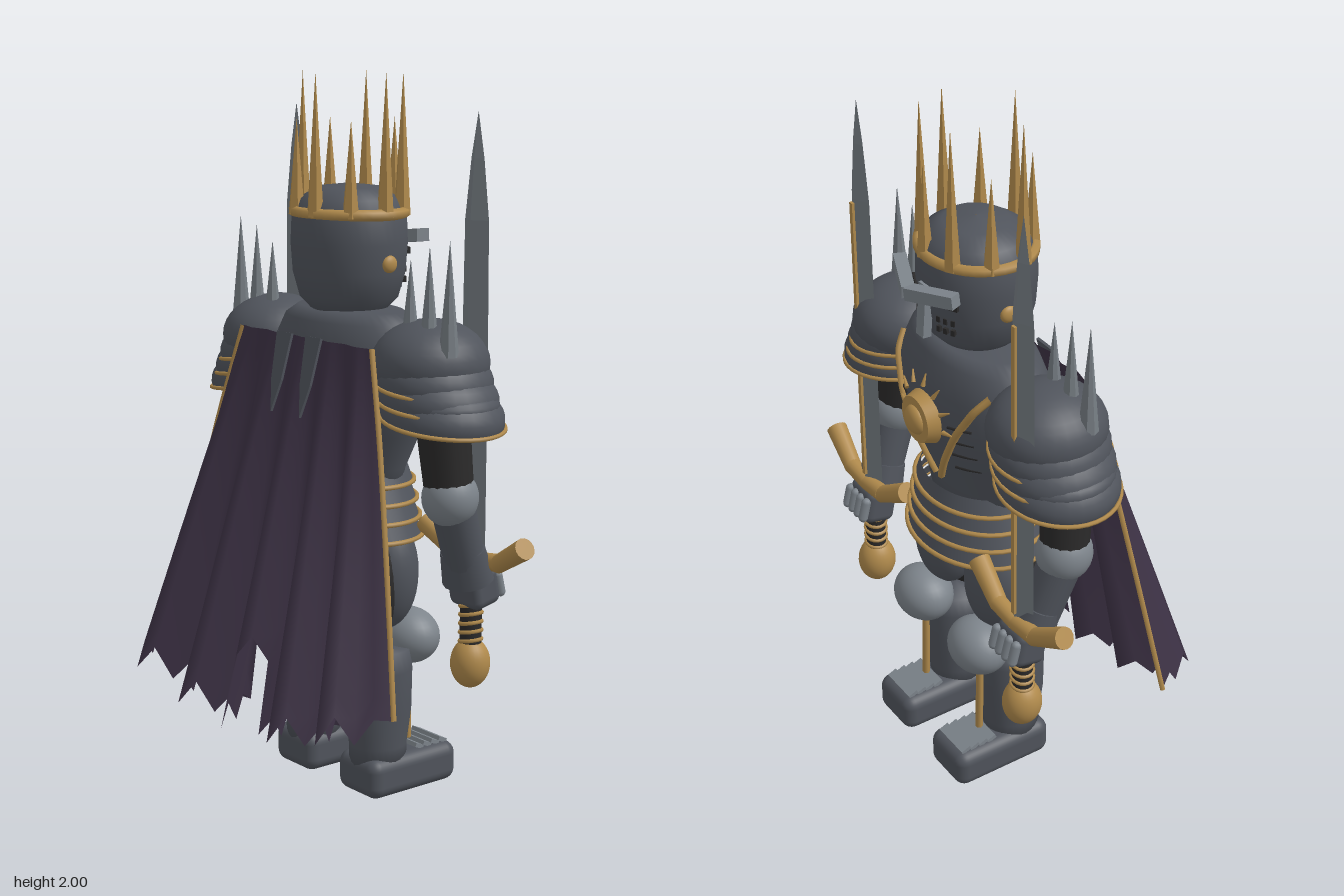
import * as THREE from 'three';
import { RoundedBoxGeometry } from 'three/addons/geometries/RoundedBoxGeometry.js';

const mat = (name, color, extra = {}) => new THREE.MeshStandardMaterial({ name, color, ...extra });
const V = (x, y, z) => new THREE.Vector3(x, y, z);

export function createModel() {
  const root = new THREE.Group();
  root.name = 'armouredKing';
  const armour = mat('dark armour', 0x50545c, { side: THREE.DoubleSide });
  const steel = mat('steel', 0x7d848b);
  const steelFlat = mat('blade steel', 0x767d83, { flatShading: true });
  const gold = mat('gold', 0xb08a4c);
  const goldFlat = mat('crown gold', 0xb08a4c, { flatShading: true });
  const black = mat('black cloth', 0x2b2a2a);
  const capeMat = mat('cape purple', 0x3d3245, { side: THREE.DoubleSide });

  const add = (name, geo, m, x = 0, y = 0, z = 0) => {
    const mesh = new THREE.Mesh(geo, m);
    mesh.name = name;
    mesh.position.set(x, y, z);
    root.add(mesh);
    return mesh;
  };
  const ball = (name, m, x, y, z, rx, ry, rz) => {
    const b = add(name, new THREE.SphereGeometry(1, 28, 18), m, x, y, z);
    b.scale.set(rx, ry, rz);
    return b;
  };
  const rod = (name, m, a, b, r0, r1 = r0, sides = 16) => {
    const d = b.clone().sub(a), mid = a.clone().add(b).multiplyScalar(0.5);
    const c = add(name, new THREE.CylinderGeometry(r1, r0, d.length(), sides), m, mid.x, mid.y, mid.z);
    c.quaternion.setFromUnitVectors(V(0, 1, 0), d.normalize());
    return c;
  };
  const tube = (name, m, pts, r, closed = false) =>
    add(name, new THREE.TubeGeometry(new THREE.CatmullRomCurve3(pts, closed), 40, r, 6, closed), m);
  const lathe = (name, m, pts, z, zs) => {
    const l = add(name, new THREE.LatheGeometry(pts.map(p => new THREE.Vector2(...p)), 40), m, 0, 0, z);
    l.scale.z = zs;
    return l;
  };
  const ellipse = (name, x, y, z, rx, rz, r, tilt = 0) => {
    const pts = [];
    for (let i = 0; i < 24; i++) {
      const a = i / 24 * Math.PI * 2;
      pts.push(V(x + rx * Math.cos(a), y + tilt * Math.cos(a), z + rz * Math.sin(a)));
    }
    return tube(name, gold, pts, r, true);
  };

  // Breastplate, with a helper giving its face surface
  const torso = [[0.001, 0.82], [0.17, 0.82], [0.2, 0.93], [0.25, 1.03], [0.29, 1.15], [0.285, 1.25], [0.24, 1.33], [0.19, 1.36], [0.001, 1.365]];
  lathe('breastplate', armour, torso, -0.12, 0.56);
  const chestZ = (x, y) => {
    let i = 1;
    while (i < 6 && torso[i + 1][1] < y) i++;
    const [r0, y0] = torso[i], [r1, y1] = torso[i + 1];
    const r = r0 + (r1 - r0) * (y - y0) / (y1 - y0);
    return -0.12 - 0.56 * Math.sqrt(Math.max(0, r * r - x * x));
  };

  // Sun emblem
  const disc = add('emblemDisc', new THREE.CylinderGeometry(0.066, 0.078, 0.035, 32), gold, 0, 1.15, -0.295);
  disc.rotation.x = -Math.PI / 2;
  ball('emblemBoss', gold, 0, 1.15, -0.31, 0.042, 0.042, 0.025);
  for (let i = 0; i < 7; i++) {
    const a = (i / 6) * Math.PI, c = Math.cos(a), s = Math.sin(a);
    rod('emblemRay', gold, V(c * 0.095, 1.15 + s * 0.095, -0.285), V(c * 0.13, 1.15 + s * 0.13, -0.275), 0.007, 0.002, 6);
  }

  // Waist plates with gold edges
  for (let i = 0; i < 4; i++) {
    const y = 0.93 - i * 0.05, r = 0.195 + i * 0.01;
    lathe('waistPlate', armour, [[r + 0.008, y - 0.05], [r - 0.012, y]], -0.115, 0.8);
    ellipse('waistTrim', 0, y - 0.045, -0.115, r + 0.01, (r + 0.01) * 0.8, 0.007);
  }
  ball('hips', black, 0, 0.76, -0.11, 0.19, 0.09, 0.13);

  // Helmet
  lathe('helmet', armour, [[0.001, 1.34], [0.1, 1.35], [0.14, 1.39], [0.16, 1.46], [0.166, 1.54], [0.163, 1.61], [0.14, 1.66], [0.09, 1.69], [0.001, 1.7]], -0.113, 0.95);
  const nose = add('noseGuard', new THREE.BoxGeometry(0.035, 0.15, 0.025), steel, 0, 1.475, -0.272);
  nose.rotation.x = 0.08;
  for (const s of [1, -1]) {
    const brow = add('brow', new THREE.BoxGeometry(0.15, 0.035, 0.035), steel, s * 0.067, 1.55, -0.292);
    brow.rotation.set(0, -s * 0.4, s * 0.12);
    const eye = add('eyeSlit', new THREE.BoxGeometry(0.08, 0.018, 0.02), black, s * 0.067, 1.515, -0.25);
    eye.rotation.y = -s * 0.42;
    for (let j = 0; j < 6; j++) {
      const a = 0.28 + (j % 3) * 0.14;
      const hole = add('breathHole', new THREE.BoxGeometry(0.011, 0.016, 0.012), black,
        s * 0.159 * Math.sin(a), 1.435 + Math.floor(j / 3) * 0.028, -0.113 - 0.149 * Math.cos(a));
      hole.rotation.y = -s * a;
    }
    ball('templeRivet', gold, s * 0.162, 1.49, -0.122, 0.014, 0.024, 0.024);
  }

  // Crown
  ellipse('crownBand', 0, 1.622, -0.113, 0.162, 0.145, 0.016);
  for (let i = 0; i < 9; i++) {
    const a = i * Math.PI * 2 / 9, h = i % 2 ? 0.26 : 0.385;
    add('crownSpike', new THREE.ConeGeometry(0.024, h, 6), goldFlat,
      Math.cos(a) * 0.154, 1.615 + h / 2, -0.113 + Math.sin(a) * 0.14);
  }

  for (const s of [1, -1]) {
    // Breast straps and rib grooves
    const strap = [];
    for (let i = 0; i <= 8; i++) {
      const x = 0.012 + i * 0.025, y = 0.95 + i * 0.0425;
      strap.push(V(s * x, y, chestZ(x, y) - 0.004));
    }
    tube('breastStrap', gold, strap, 0.011);
    for (let j = 0; j < 4; j++) {
      const y = 1.03 + j * 0.045, pts = [0.1, 0.14, 0.18].map(x => V(s * x, y + (x - 0.1) * 0.2, chestZ(x, y) - 0.001));
      tube('ribGroove', black, pts, 0.004);
    }

    // Layered shoulder plates
    ball('shoulderDome', armour, s * 0.335, 1.245, -0.12, 0.155, 0.118, 0.162);
    for (let i = 0; i < 3; i++) {
      const x = 0.35 + i * 0.018, y = 1.2 - i * 0.045, r = 0.155 + i * 0.008;
      const cap = add('shoulderPlate', new THREE.SphereGeometry(1, 28, 10, 0, Math.PI * 2, 0, Math.PI * 0.56), armour, s * x, y, -0.12);
      cap.scale.set(r, 0.1, 0.162);
      cap.rotation.z = -s * 0.12;
      ellipse('shoulderTrim', s * x, y - 0.017, -0.12, r, 0.161, 0.006, -s * 0.019);
    }
    ball('shoulderUnderside', armour, s * 0.385, 1.14, -0.12, 0.155, 0.06, 0.15);
    [[0.455, 1.58], [0.377, 1.56], [0.302, 1.52]].forEach(([x, top]) =>
      add('shoulderSpike', new THREE.ConeGeometry(0.027, top - 1.28, 8), steelFlat, s * x, (top + 1.28) / 2, -0.077));

    // Arm
    rod('upperArm', black, V(s * 0.4, 1.16, -0.1), V(s * 0.42, 0.88, -0.12), 0.075, 0.065);
    ball('elbowGuard', steel, s * 0.42, 0.895, -0.12, 0.075, 0.08, 0.078);
    rod('forearm', armour, V(s * 0.42, 0.87, -0.13), V(s * 0.4, 0.66, -0.205), 0.06, 0.055);
    const cuff = rod('cuff', armour, V(s * 0.405, 0.74, -0.18), V(s * 0.397, 0.65, -0.21), 0.062, 0.072);
    cuff.scale.z = 0.9;
    const hand = add('gauntlet', new RoundedBoxGeometry(0.12, 0.11, 0.1, 3, 0.025), armour, s * 0.39, 0.63, -0.235);
    hand.rotation.x = 0.2;
    for (let j = 0; j < 4; j++) {
      const f = add('finger', new THREE.CapsuleGeometry(0.014, 0.05, 4, 8), steel, s * (0.345 + j * 0.03), 0.635, -0.288);
      f.rotation.x = 0.25;
    }

    // Sword: four-sided blade, fuller, guard, grip and pommel
    const blade = new THREE.CylinderGeometry(1, 1, 1.18, 4, 4);
    const p = blade.attributes.position, widths = [0.052, 0.05, 0.046, 0.025, 0.0005], heights = [0.7, 1.3, 1.62, 1.78, 1.9];
    for (let i = 0; i < p.count; i++) {
      const k = Math.round((p.getY(i) / 1.18 + 0.5) * 4);
      p.setXYZ(i, p.getX(i) * widths[k], heights[k], p.getZ(i) * widths[k] * 0.52);
    }
    blade.computeVertexNormals();
    add('swordBlade', blade, steelFlat, s * 0.388, 0, -0.23);
    add('swordFuller', new THREE.BoxGeometry(0.014, 0.88, 0.008), gold, s * 0.388, 1.17, -0.257);
    for (const e of [1, -1]) {
      rod('swordGuard', gold, V(s * 0.388, 0.695, -0.25), V(s * (0.388 + e * 0.085), 0.705, -0.25), 0.024, 0.025);
      rod('swordGuardEnd', gold, V(s * (0.388 + e * 0.08), 0.7, -0.25), V(s * (0.388 + e * 0.2), 0.77, -0.235), 0.025, 0.03);
    }
    rod('swordGrip', black, V(s * 0.388, 0.45, -0.23), V(s * 0.388, 0.7, -0.23), 0.03);
    for (let j = 0; j < 5; j++) {
      const ring = add('gripWrap', new THREE.TorusGeometry(0.03, 0.006, 6, 18), gold, s * 0.388, 0.475 + j * 0.025, -0.23);
      ring.rotation.set(Math.PI / 2, 0.2, 0);
    }
    ball('swordPommel', gold, s * 0.388, 0.41, -0.23, 0.054, 0.07, 0.056);

    // Leg
    ball('thigh', black, s * 0.125, 0.61, -0.085, 0.095, 0.17, 0.082);
    ball('thighPlate', armour, s * 0.13, 0.63, -0.14, 0.1, 0.165, 0.09);
    ball('kneeGuard', steel, s * 0.145, 0.435, -0.215, 0.098, 0.08, 0.083);
    const greave = add('greave', new THREE.LatheGeometry(
      [[0.001, 0.08], [0.078, 0.08], [0.078, 0.14], [0.09, 0.24], [0.092, 0.36], [0.086, 0.42], [0.001, 0.425]].map(q => new THREE.Vector2(...q)), 28), armour, s * 0.145, 0, -0.105);
    greave.scale.z = 1.07;
    tube('greaveRidge', gold, [V(s * 0.145, 0.13, -0.215), V(s * 0.145, 0.25, -0.212), V(s * 0.145, 0.39, -0.21)], 0.011);
    add('boot', new RoundedBoxGeometry(0.172, 0.115, 0.315, 4, 0.035), armour, s * 0.145, 0.0575, -0.178);
    for (let j = 0; j < 4; j++) {
      const plate = add('toePlate', new THREE.BoxGeometry(0.12, 0.012, 0.03), steel, s * 0.145, 0.12, -0.21 - j * 0.029);
      plate.rotation.x = -0.4;
    }
  }

  // Pleated cape with a torn hem and a slit
  const cols = 40, rows = 16, pos = [], idx = [];
  const capePoint = (u, t) => {
    const half = 0.285 + 0.235 * Math.pow(t, 0.9);
    const wave = 1 - Math.abs(2 * ((u * 5) % 1) - 1);
    const tear = [0, 0.04, -0.03, 0.05, -0.02, 0.06, -0.05, 0.02][Math.round(u * cols) % 8];
    const hem = 0.36 - 0.11 * (1 - Math.pow(2 * u - 1, 2)) + tear * 0.8;
    return V((2 * u - 1) * half, 1.29 + (hem - 1.29) * t, 0.04 + 0.115 * t + wave * (0.012 + 0.165 * t));
  };
  for (let j = 0; j <= rows; j++)
    for (let i = 0; i <= cols; i++) pos.push(...capePoint(i / cols, j / rows).toArray());
  for (let j = 0; j < rows; j++)
    for (let i = 0; i < cols; i++) {
      if ((i === 20 || i === 21) && j >= 13) continue;
      const a = j * (cols + 1) + i, b = a + cols + 1;
      idx.push(a, b, a + 1, b, b + 1, a + 1);
    }
  const capeGeo = new THREE.BufferGeometry();
  capeGeo.setAttribute('position', new THREE.Float32BufferAttribute(pos, 3));
  capeGeo.setIndex(idx);
  capeGeo.computeVertexNormals();
  add('cape', capeGeo, capeMat);
  for (const u of [0, 1]) tube('capeTrim', gold, [0, 0.25, 0.5, 0.75, 1].map(t => capePoint(u, t)), 0.008);

  // Pointed back plates overlapping the cape top
  for (const x of [-0.068, 0.06]) {
    const shape = new THREE.Shape([[-0.033, 0], [-0.022, -0.13], [0, -0.22], [0.022, -0.13], [0.033, 0]].map(q => new THREE.Vector2(...q)));
    const tab = add('backPoint', new THREE.ExtrudeGeometry(shape, { depth: 0.008, bevelEnabled: false }), armour, x, 1.295, 0.052);
    tab.rotation.x = -0.22;
  }
  return root;
}
